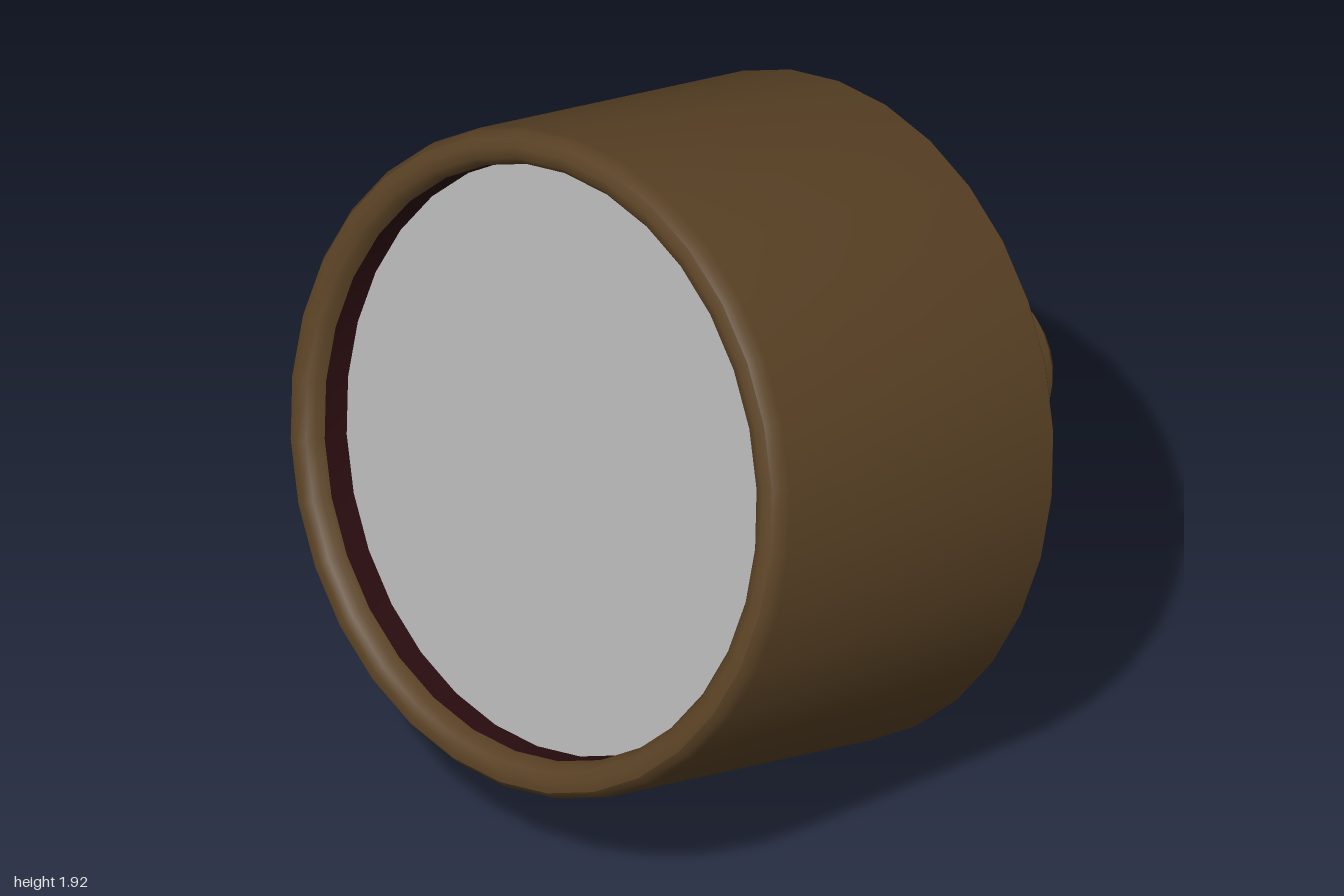
import * as THREE from 'three';
import { toCreasedNormals } from 'three/addons/utils/BufferGeometryUtils.js';

const material = (name, color) => {
  const m = new THREE.MeshStandardMaterial({ color });
  m.name = name;
  return m;
};

export function createModel() {
  const brown = material('bronze brown', 0x5a4225);
  const maroon = material('dark maroon', 0x2c0e11);
  const red = material('red', 0x780f0f);
  const grey = material('face grey', 0xb0b0b0);

  // Everything turns around the gauge axis: local +y is the dial side, y = 0 the back plate
  const gauge = new THREE.Group();
  gauge.name = 'gauge';

  const add = (name, geometry, mat, y = 0) => {
    const mesh = new THREE.Mesh(geometry, mat);
    mesh.name = name;
    mesh.position.y = y;
    gauge.add(mesh);
  };
  // Lathed part from [radius, height] pairs, listed upward along the outside
  const turn = (name, profile, mat, sides = 32, crease = 0.6) => {
    const points = profile.map(([r, y]) => new THREE.Vector2(r, y));
    add(name, toCreasedNormals(new THREE.LatheGeometry(points, sides), crease), mat);
  };

  // Case with a rolled front lip
  turn('case', [
    [0.83, 0.02], [0.83, 0], [0.848, 0], [0.855, 0.008], [0.855, 0.965],
    [0.849, 0.992], [0.835, 1.01], [0.808, 1.018], [0.782, 1.01],
    [0.767, 0.992], [0.76, 0.965],
  ], brown);
  turn('innerWall', [[0.76, 0.965], [0.76, 0.88]], maroon);
  add('dialFace', new THREE.CircleGeometry(0.76, 32).rotateX(-Math.PI / 2), grey, 0.885);

  // Back plate with a thin groove around it
  turn('backPlate', [[0, 0], [0.818, 0], [0.818, 0.02]], brown);
  turn('backGroove', [[0.818, 0.02], [0.83, 0.02]], maroon);

  // Hexagonal nut sitting on a dark seal
  turn('nutSeal', [[0.44, -0.075], [0.5, -0.065], [0.525, 0]], maroon, 6, 0.2);
  turn('nut', [[0, -0.23], [0.41, -0.23], [0.485, -0.19], [0.485, -0.06]], brown, 6, 0.2);

  // Washer
  add('washer', toCreasedNormals(new THREE.CylinderGeometry(0.4, 0.4, 0.03, 32), 0.6), red, -0.24);

  // Threaded stem
  const ridges = 8, start = -0.64, pitch = 0.39 / ridges;
  const thread = [];
  for (let i = 0; i < ridges; i++) {
    const y = start + i * pitch;
    thread.push([0.198, y], [0.222, y + pitch * 0.3], [0.222, y + pitch * 0.7]);
  }
  thread.push([0.198, start + ridges * pitch]);
  turn('stemThread', thread, maroon, 28);

  // Chamfered tip with a small inlet hole
  turn('stemTip', [[0, -0.71], [0.17, -0.71], [0.21, -0.665], [0.21, -0.635], [0.19, -0.63]], brown, 28);
  add('inletHole', new THREE.CircleGeometry(0.032, 16).rotateX(Math.PI / 2), maroon, -0.713);

  // Tilt the axis so the dial looks forward, up and to one side; z points at a nut corner
  const axis = new THREE.Vector3(-0.367, 0.297, 0.882).normalize();
  const side = new THREE.Vector3().crossVectors(axis, new THREE.Vector3(0.92, -0.025, 0.391)).normalize();
  const corner = new THREE.Vector3().crossVectors(side, axis);
  gauge.quaternion.setFromRotationMatrix(new THREE.Matrix4().makeBasis(side, axis, corner));
  gauge.position.set(0.18, 0.825, -0.29);

  const model = new THREE.Group();
  model.name = 'pressureGauge';
  model.add(gauge);
  return model;
}
